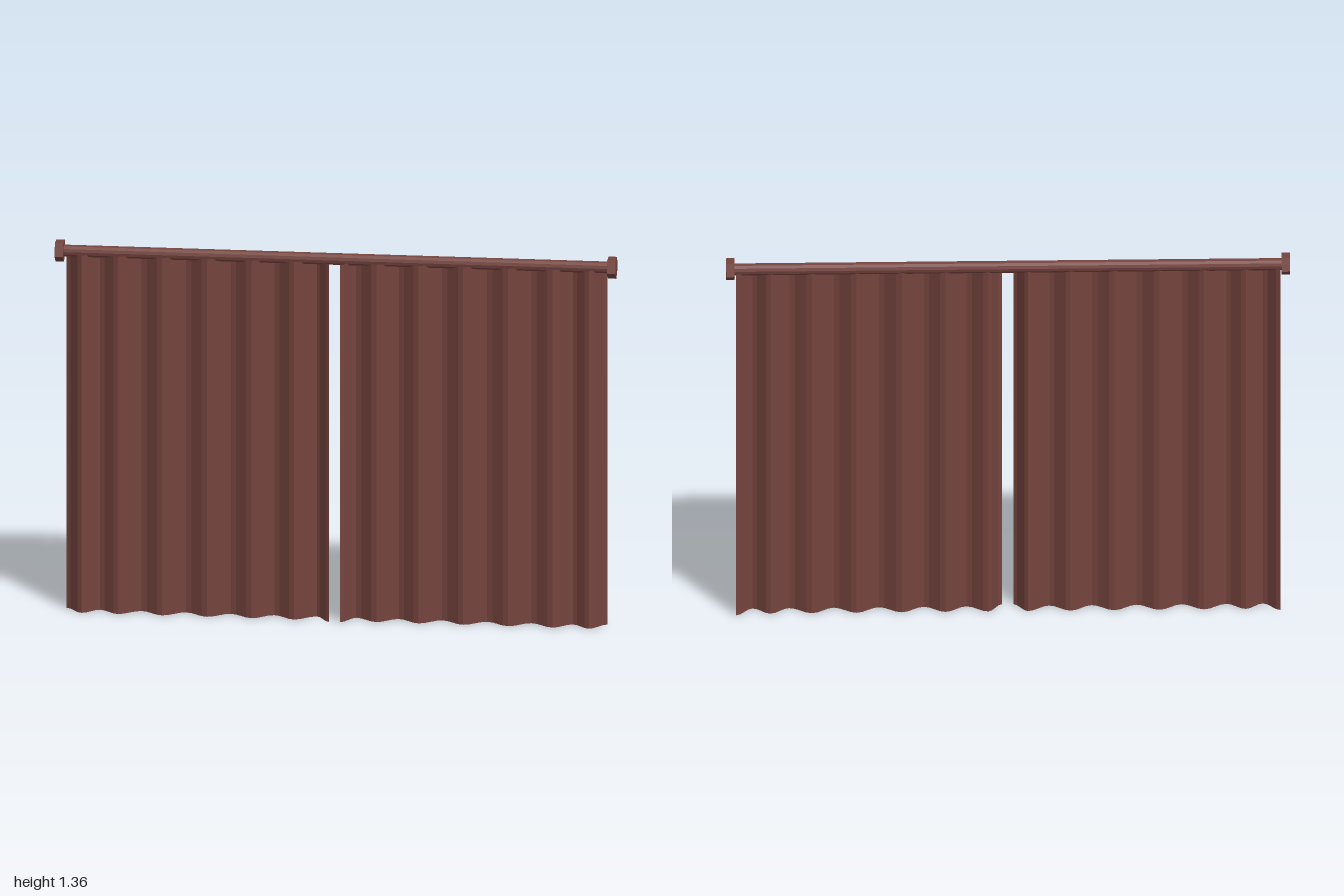
import * as THREE from 'three';

export function createModel() {
  const group = new THREE.Group();
  const brown = new THREE.MeshStandardMaterial({ color: 0x74433d, flatShading: true, side: THREE.DoubleSide });
  brown.name = 'curtain brown';

  const rodY = 1.33, rodZ = -0.004;
  const add = (name, geometry, x, y, z) => {
    const mesh = new THREE.Mesh(geometry, brown);
    mesh.name = name;
    mesh.position.set(x, y, z);
    group.add(mesh);
  };

  // Round rod along x
  const rod = new THREE.CylinderGeometry(0.0215, 0.0215, 1.96, 12);
  rod.rotateZ(Math.PI / 2);
  add('rod', rod, 0, rodY, rodZ);

  // Five-sided end caps, one corner pointing down
  const cap = new THREE.CylinderGeometry(0.041, 0.041, 0.03, 5);
  cap.rotateY(Math.PI / 2); // first corner to +x
  cap.rotateZ(-Math.PI / 2); // axis to x, corner to -y
  add('leftEndCap', cap, 0.985, rodY, rodZ);
  add('rightEndCap', cap, -0.985, rodY, rodZ);

  // Pleated panels, mirrored: fold lines from the inner to the outer edge,
  // alternating front and back, with deeper turns at the two edges
  const foldX = [0.02, 0.07, 0.147, 0.222, 0.298, 0.377, 0.457, 0.537, 0.617, 0.695, 0.775, 0.843, 0.905, 0.965];
  const last = foldX.length - 1;
  const foldZ = foldX.map((_, i) => (i === 0 ? 0.041 : i === last ? -0.033 : i % 2 ? -0.021 : 0.025));
  const steps = 4, height = 1.322;

  const curtain = (side) => {
    const panel = new THREE.PlaneGeometry(1, height, last * steps, 1);
    const p = panel.attributes.position;
    for (let i = 0; i < p.count; i++) {
      const column = i % (last * steps + 1);
      const k = side > 0 ? column : last * steps - column;
      const fold = Math.min(Math.floor(k / steps), last - 1);
      const t = k / steps - fold;
      p.setX(i, side * THREE.MathUtils.lerp(foldX[fold], foldX[fold + 1], t));
      p.setZ(i, THREE.MathUtils.lerp(foldZ[fold], foldZ[fold + 1], (1 - Math.cos(Math.PI * t)) / 2));
    }
    panel.computeVertexNormals();
    return panel;
  };
  add('leftCurtain', curtain(1), 0, height / 2, 0);
  add('rightCurtain', curtain(-1), 0, height / 2, 0);

  return group;
}
